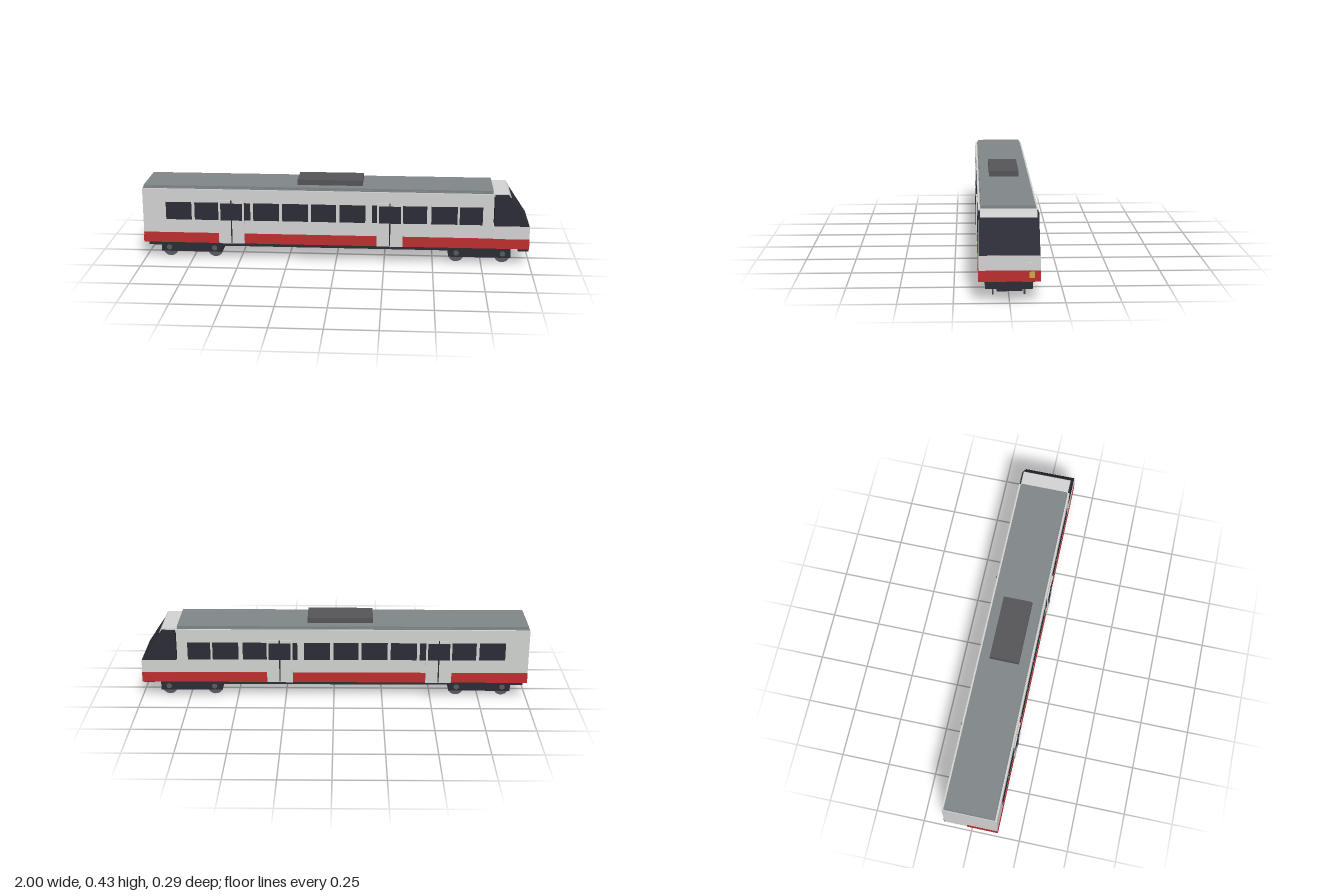
import * as THREE from 'three';

export function createModel() {
  const train = new THREE.Group();
  train.name = 'railcar';
  const mat = (name, color) => {
    const m = new THREE.MeshStandardMaterial({ color });
    m.name = name;
    return m;
  };
  const white = mat('body white', 0xcfd1cf);
  const red = mat('stripe red', 0xbb2e2e);
  const dark = mat('glass and underframe', 0x2b2c35);
  const grey = mat('roof grey', 0x7f8486);
  const unitGrey = mat('roof unit grey', 0x545357);
  const steel = mat('wheel steel', 0x5a5a5e);
  const yellow = mat('marker yellow', 0xc8a845);

  const add = (name, geometry, material) => {
    const mesh = new THREE.Mesh(geometry, material);
    mesh.name = name;
    train.add(mesh);
    return mesh;
  };
  // Box given by its limits on each axis
  const box = (name, material, x0, x1, y0, y1, z0, z1) => {
    const g = new THREE.BoxGeometry(x1 - x0, y1 - y0, z1 - z0);
    g.translate((x0 + x1) / 2, (y0 + y1) / 2, (z0 + z1) / 2);
    return add(name, g, material);
  };
  // Side profile extruded across the width
  const slab = (name, material, points, halfWidth) => {
    const shape = new THREE.Shape(points.map(([x, y]) => new THREE.Vector2(x, y)));
    const g = new THREE.ExtrudeGeometry(shape, { depth: halfWidth * 2, bevelEnabled: false });
    g.translate(0, 0, -halfWidth);
    return add(name, g, material);
  };
  // Thin plate on both long sides, reaching out to z = outer
  const sidePlates = (name, material, x0, x1, y0, y1, outer, thick = 0.005) => {
    box(name + 'Left', material, x0, x1, y0, y1, outer - thick, outer);
    box(name + 'Right', material, x0, x1, y0, y1, -outer, thick - outer);
  };

  // Passenger body and roof
  box('body', white, -0.998, 0.805, 0.096, 0.384, -0.137, 0.137);
  box('roofEdge', grey, -0.995, 0.8, 0.383, 0.389, -0.128, 0.128);
  box('roof', grey, -0.992, 0.8, 0.388, 0.399, -0.123, 0.123);
  box('roofUnit', unitGrey, -0.2, 0.135, 0.398, 0.427, -0.075, 0.075);

  // Cab: lower nose, dark glazed upper part, light visor
  box('noseBand', white, 0.8, 0.99, 0.148, 0.216, -0.138, 0.138);
  box('noseSkirt', red, 0.8, 0.991, 0.096, 0.148, -0.1395, 0.1395);
  slab('cabGlass', dark, [[0.81, 0.215], [0.989, 0.215], [0.878, 0.38], [0.81, 0.38]], 0.136);
  slab('cabVisor', white, [[0.805, 0.37], [0.892, 0.365], [0.879, 0.386], [0.805, 0.386]], 0.128);
  for (const s of [-1, 1]) {
    box('headlight', white, 0.986, 0.993, 0.168, 0.186, s * 0.09 - 0.018, s * 0.09 + 0.018);
  }
  box('markerPlate', yellow, 0.988, 0.995, 0.115, 0.142, -0.112, -0.088);

  // Red stripe, broken by the doors
  for (const [x0, x1] of [[-0.998, -0.606], [-0.473, 0.211], [0.344, 0.805]]) {
    sidePlates('stripe', red, x0, x1, 0.096, 0.15, 0.1395);
  }
  box('rearStripe', red, -1, -0.995, 0.096, 0.135, -0.02, 0.1395);

  // Side windows
  const windows = [
    [-0.878, -0.745], [-0.729, -0.606], [-0.473, -0.44], [-0.425, -0.291],
    [-0.275, -0.142], [-0.126, 0.003], [0.019, 0.152], [0.187, 0.211],
    [0.344, 0.467], [0.489, 0.622], [0.633, 0.75],
  ];
  for (const [x0, x1] of windows) sidePlates('window', dark, x0, x1, 0.221, 0.314, 0.1395);

  // Double doors with glass and a centre seam
  for (const x of [-0.538, 0.278]) {
    sidePlates('door', white, x - 0.066, x + 0.066, 0.096, 0.326, 0.143, 0.008);
    sidePlates('doorGlass', dark, x - 0.056, x + 0.056, 0.221, 0.312, 0.1438, 0.003);
    sidePlates('doorSeam', dark, x - 0.003, x + 0.003, 0.1, 0.328, 0.145, 0.004);
  }

  // Underframe, coupler, bogies and wheels
  box('underframe', dark, -0.98, 0.79, 0.072, 0.097, -0.113, 0.113);
  box('cabFloor', dark, 0.79, 0.975, 0.09, 0.097, -0.113, 0.113);
  box('coupler', dark, 0.943, 0.997, 0.055, 0.097, -0.057, 0.057);
  const wheel = new THREE.CylinderGeometry(0.04, 0.04, 0.006, 24).rotateX(Math.PI / 2);
  for (const x of [-0.756, 0.741]) {
    box('bogie', dark, x - 0.16, x + 0.16, 0.036, 0.086, -0.108, 0.108);
    box('bogiePivot', dark, x - 0.06, x + 0.06, 0.08, 0.097, -0.06, 0.06);
    for (const dx of [-0.119, 0.119]) {
      for (const z of [-0.072, 0.072]) {
        add('wheel', wheel, steel).position.set(x + dx, 0.04, z);
      }
      // Wheel covers on the outer frame
      for (const z of [-0.1085, 0.1085]) {
        const cover = add('axleCover', wheel, steel);
        cover.scale.set(0.35, 0.35, 0.5);
        cover.position.set(x + dx, 0.058, z);
      }
    }
  }
  return train;
}
